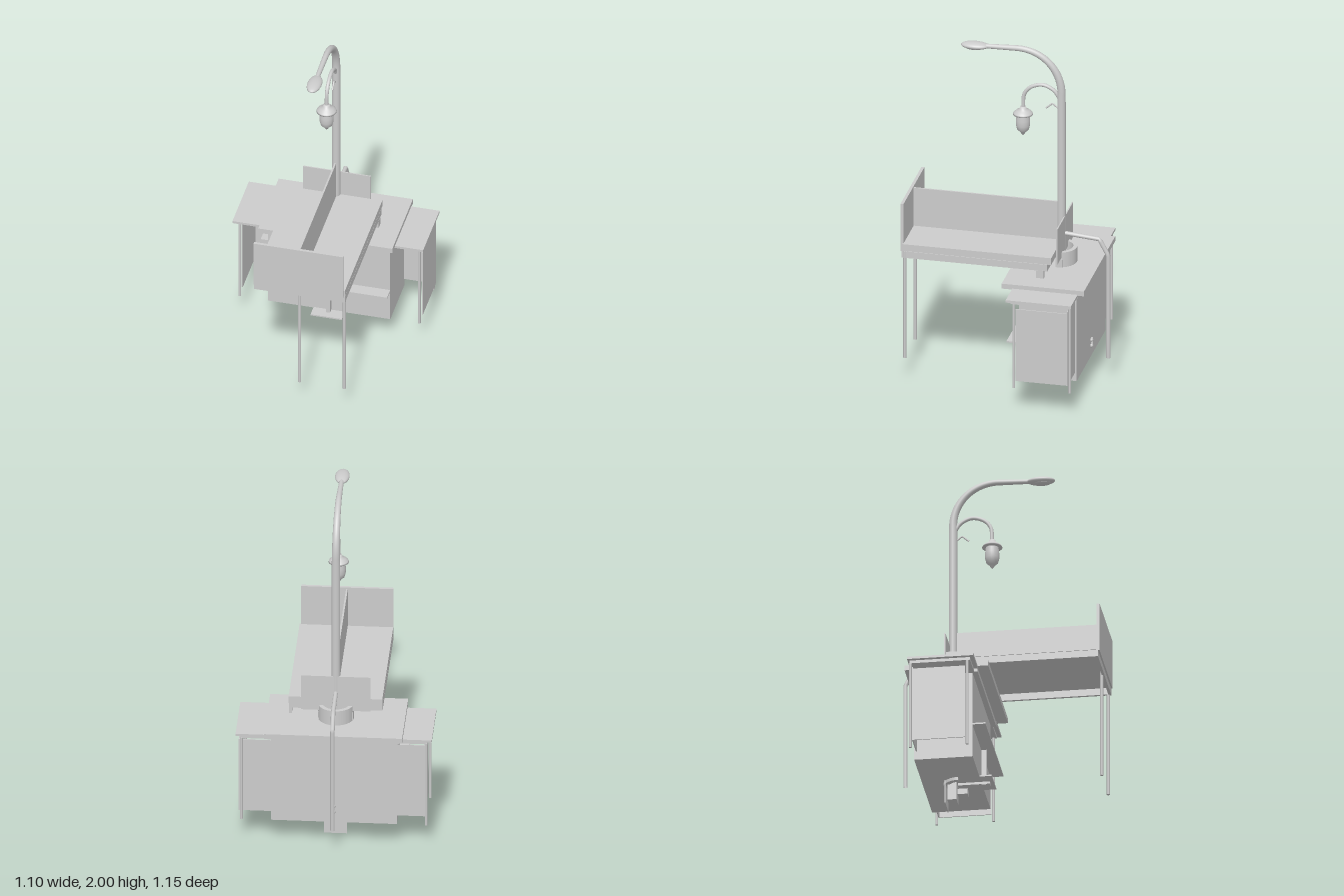
import * as THREE from 'three';

const V = (x, y, z) => new THREE.Vector3(x, y, z);

export function createModel() {
  const model = new THREE.Group();
  const mat = new THREE.MeshStandardMaterial({ color: 0xcccccc, side: THREE.DoubleSide });

  const add = (name, geometry) => {
    const mesh = new THREE.Mesh(geometry, mat);
    mesh.name = name;
    model.add(mesh);
    return mesh;
  };
  // Box from its minimum and maximum on each axis
  const box = (name, x0, x1, y0, y1, z0, z1) => {
    const g = new THREE.BoxGeometry(x1 - x0, y1 - y0, z1 - z0);
    g.translate((x0 + x1) / 2, (y0 + y1) / 2, (z0 + z1) / 2);
    return add(name, g);
  };
  const post = (name, x, z, y0, y1, r) => {
    const g = new THREE.CylinderGeometry(r, r, y1 - y0, 10);
    g.translate(x, (y0 + y1) / 2, z);
    return add(name, g);
  };
  // Round tube along a curve, with a radius that can taper along its length
  const taperTube = (name, curve, segments, radiusAt, sides = 16) => {
    const g = new THREE.TubeGeometry(curve, segments, 1, sides);
    const p = g.attributes.position;
    const v = V(0, 0, 0);
    for (let i = 0; i <= segments; i++) {
      const c = curve.getPointAt(i / segments);
      for (let j = 0; j <= sides; j++) {
        const k = i * (sides + 1) + j;
        v.fromBufferAttribute(p, k).sub(c).multiplyScalar(radiusAt(i / segments)).add(c);
        p.setXYZ(k, v.x, v.y, v.z);
      }
    }
    return add(name, g);
  };
  // Curved wall: the rear half of a ring, open to the front
  const halfRing = (name, inner, outer, y0, y1, z) => {
    const s = new THREE.Shape();
    s.absarc(0, 0, outer, 0, Math.PI, false);
    s.absarc(0, 0, inner, Math.PI, 0, true);
    const g = new THREE.ExtrudeGeometry(s, { depth: y1 - y0, bevelEnabled: false, curveSegments: 20 });
    g.rotateX(-Math.PI / 2);
    g.translate(0, y0, z);
    return add(name, g);
  };

  // Cabinet with its counter and front ledge
  box('cabinet', -0.354, 0.352, 0.14, 0.66, -0.46, -0.13);
  box('counterTrim', -0.37, 0.37, 0.655, 0.68, -0.47, -0.1);
  box('counter', -0.387, 0.387, 0.68, 0.71, -0.51, -0.037);
  box('frontLedge', -0.355, 0.352, 0.336, 0.345, -0.13, -0.057);
  box('ledgePost', -0.012, 0.012, 0.12, 0.336, -0.13, -0.1);
  box('sideBox', -0.408, -0.354, 0.33, 0.525, -0.32, -0.18);

  // Side shelves on thin legs, each with an L-shaped screen
  for (const s of [-1, 1]) {
    const span = (name, a, b, ...rest) => box(name, Math.min(s * a, s * b), Math.max(s * a, s * b), ...rest);
    const outer = s > 0 ? 0.535 : 0.51;
    span('sideShelf', 0.35, 0.55, 0.672, 0.686, -0.473, -0.098);
    span('sideShelfTrim', 0.35, 0.527, 0.655, 0.672, -0.462, -0.12);
    span('screenBack', 0.35, outer, 0.19, 0.64, -0.45, -0.445);
    span('screenSide', outer - 0.006, outer, 0.19, 0.63, -0.445, -0.15);
    for (const z of [-0.137, -0.458]) post('shelfLeg', s * 0.518, z, 0.14, 0.66, 0.008);
  }

  // Long seat at right angles to the counter, divided down the middle
  box('seat', -0.26, 0.265, 0.797, 0.838, -0.293, 0.565);
  for (const x of [-0.26, 0.25]) box('seatRail', x, x + 0.015, 0.755, 0.795, -0.27, 0.565);
  for (const z of [-0.27, 0.55]) box('seatEndRail', -0.26, 0.265, 0.755, 0.795, z, z + 0.015);
  box('divider', -0.005, 0.005, 0.838, 1.07, -0.268, 0.56);
  box('endPanel', -0.26, 0.256, 0.792, 1.08, 0.557, 0.574);
  box('backPanel', -0.195, 0.195, 0.77, 0.985, -0.313, -0.306);
  for (const x of [0, 0.258]) post('seatLeg', x, 0.549, 0.14, 0.796, 0.009);
  box('rearSeatFoot', 0.25, 0.266, 0.71, 0.757, -0.25, -0.205);

  // Collar around the pole foot
  halfRing('poleCollar', 0.077, 0.1, 0.71, 0.8, -0.28);
  for (const s of [-1, 1]) {
    const wing = box('collarWing', -0.012, 0.012, 0.71, 0.76, -0.32, -0.29);
    wing.position.x = s * 0.085;
  }

  // Lamp pole bending forward into a tapered arm
  const pole = new THREE.CurvePath();
  pole.add(new THREE.LineCurve3(V(0, 0.71, -0.291), V(0, 1.73, -0.291)));
  pole.add(new THREE.CubicBezierCurve3(V(0, 1.73, -0.291), V(0, 1.87, -0.291), V(0, 1.985, -0.19), V(0, 1.986, -0.04)));
  pole.add(new THREE.LineCurve3(V(0, 1.986, -0.04), V(0, 1.98, 0.15)));
  taperTube('lampPole', pole, 90, t => (t < 0.6 ? 0.024 : 0.024 - 0.011 * (t - 0.6) / 0.4));

  // Street lamp head with a lens underneath
  const head = add('lampHead', new THREE.SphereGeometry(1, 28, 18));
  head.scale.set(0.041, 0.021, 0.08);
  head.position.set(0, 1.979, 0.206);
  const lens = add('lampLens', new THREE.SphereGeometry(1, 20, 12));
  lens.scale.set(0.03, 0.013, 0.055);
  lens.position.set(0, 1.967, 0.21);

  // Hanging lantern on a curved bracket
  const hook = new THREE.CatmullRomCurve3([
    V(0, 1.7, -0.28), V(0, 1.745, -0.25), V(0, 1.775, -0.185),
    V(0, 1.755, -0.115), V(0, 1.71, -0.078), V(0, 1.62, -0.07),
  ]);
  taperTube('lanternBracket', hook, 36, () => 0.011, 12);
  const lathe = (name, pts) => {
    const g = new THREE.LatheGeometry(pts.map(p => new THREE.Vector2(...p)), 24);
    g.translate(0, 0, -0.07);
    return add(name, g);
  };
  lathe('lanternCap', [[0, 1.583], [0.057, 1.585], [0.054, 1.594], [0.038, 1.608], [0.02, 1.619], [0.017, 1.632], [0, 1.632]]);
  lathe('lanternBody', [[0, 1.455], [0.008, 1.463], [0.017, 1.478], [0.033, 1.492], [0.04, 1.52], [0.04, 1.55], [0.036, 1.585]]);

  // Small angled hook on the pole
  const chevron = new THREE.CurvePath();
  chevron.add(new THREE.LineCurve3(V(0, 1.635, -0.202), V(0, 1.668, -0.24)));
  chevron.add(new THREE.LineCurve3(V(0, 1.668, -0.24), V(0, 1.64, -0.272)));
  taperTube('poleHook', chevron, 8, () => 0.005, 8);

  // Pipe down the back, and the small valve beside it
  const pipePts = [V(0, 0.88, -0.3), V(0, 0.862, -0.508), V(0, 0.765, -0.56), V(0, 0.14, -0.56)];
  const pipe = new THREE.CurvePath();
  for (let i = 0; i < 3; i++) pipe.add(new THREE.LineCurve3(pipePts[i], pipePts[i + 1]));
  taperTube('backPipe', pipe, 50, () => 0.0125, 10);
  for (const y of [0.205, 0.24]) {
    const knob = add('valveKnob', new THREE.SphereGeometry(0.012, 12, 8));
    knob.position.set(0, y, -0.462);
  }
  box('valveStem', -0.005, 0.005, 0.2, 0.255, -0.472, -0.46);

  // Pedal and fittings below the cabinet
  halfRing('underRing', 0.068, 0.095, 0.122, 0.14, -0.25);
  box('pedalPlate', -0.09, 0.09, 0.136, 0.144, -0.13, -0.06);
  box('pedalArm', -0.02, 0.02, 0.122, 0.136, -0.26, -0.08);
  box('drainBox', -0.04, 0.04, 0.03, 0.14, -0.318, -0.267);
  box('drainSpout', -0.028, 0.028, 0.065, 0.098, -0.262, -0.205);
  box('basePlate', -0.065, 0.065, 0, 0.14, -0.331, -0.326);

  return model;
}
